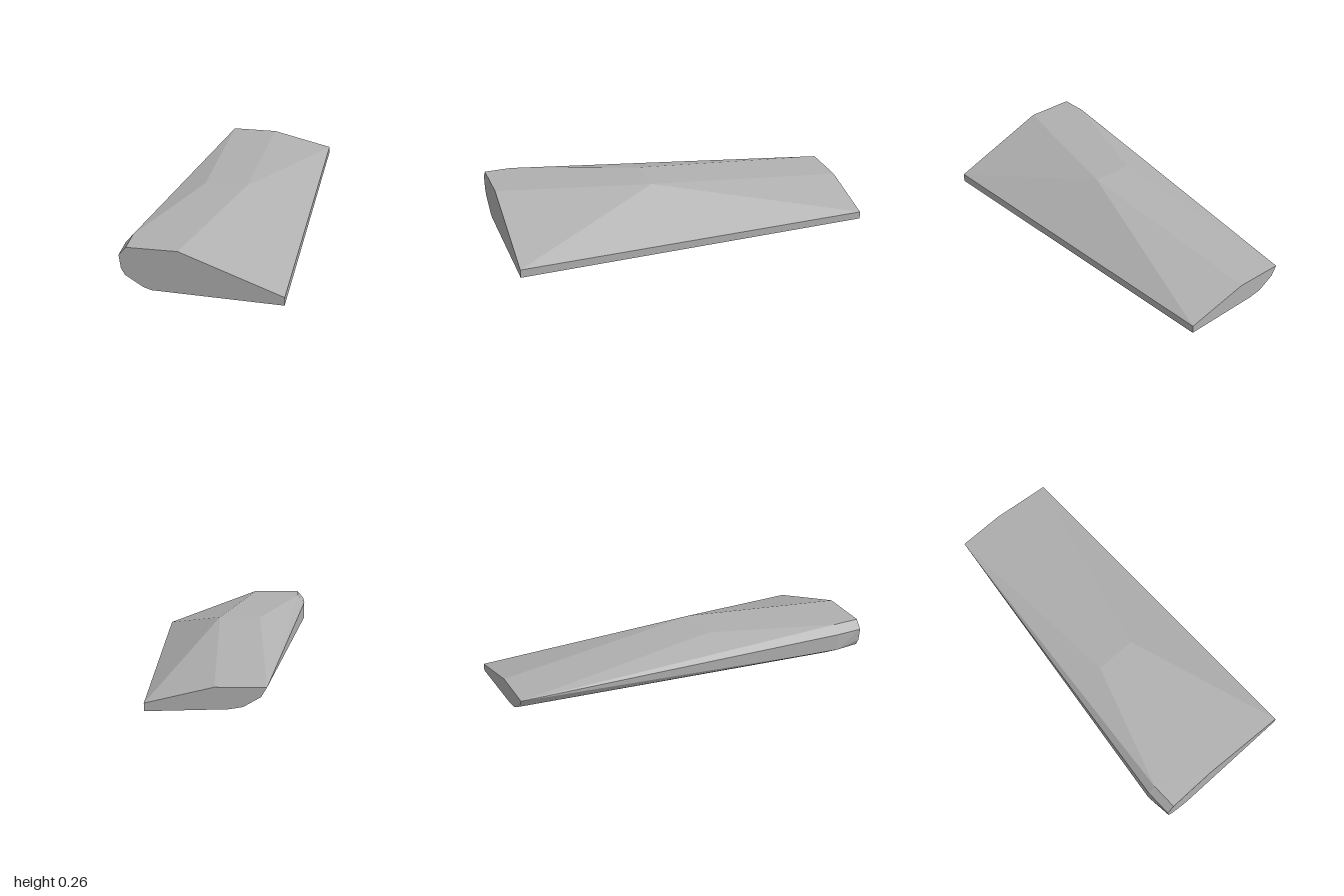
import * as THREE from 'three';
import { ConvexGeometry } from 'three/addons/geometries/ConvexGeometry.js';

export function createModel() {
  const model = new THREE.Group();
  model.name = 'wing';
  const grey = new THREE.MeshStandardMaterial({ color: 0xb0b0b0 });
  grey.name = 'plainGrey';

  // Cross-sections along the span; each corner is [x, y]
  const sections = [
    // thick root end
    { z: 1, corners: [[-0.12, 0.257], [-0.39, 0.257], [-0.43, 0.21], [-0.42, 0.135],
      [-0.4, 0.098], [-0.305, 0.035], [-0.26, 0.021], [0.43, 0], [0.43, 0.047]] },
    // end of the straight part of the leading edge
    { z: 0.85, corners: [[-0.39, 0.257], [-0.43, 0.21], [-0.43, 0.112], [-0.31, 0.035]] },
    // end of the level top
    { z: 0.15, corners: [[-0.15, 0.257], [0.085, 0.257]] },
    // thin tip
    { z: -1, corners: [[0.075, 0.135], [-0.19, 0.135], [-0.16, 0.085],
      [-0.07, 0.033], [0.0, 0.021], [0.43, 0.008], [0.43, 0.05]] },
  ];

  // Faceted skin stretched over the sections
  const points = sections.flatMap(({ z, corners }) =>
    corners.map(([x, y]) => new THREE.Vector3(x, y, z)));
  const body = new THREE.Mesh(new ConvexGeometry(points), grey);
  body.name = 'wingBody';
  model.add(body);
  return model;
}
